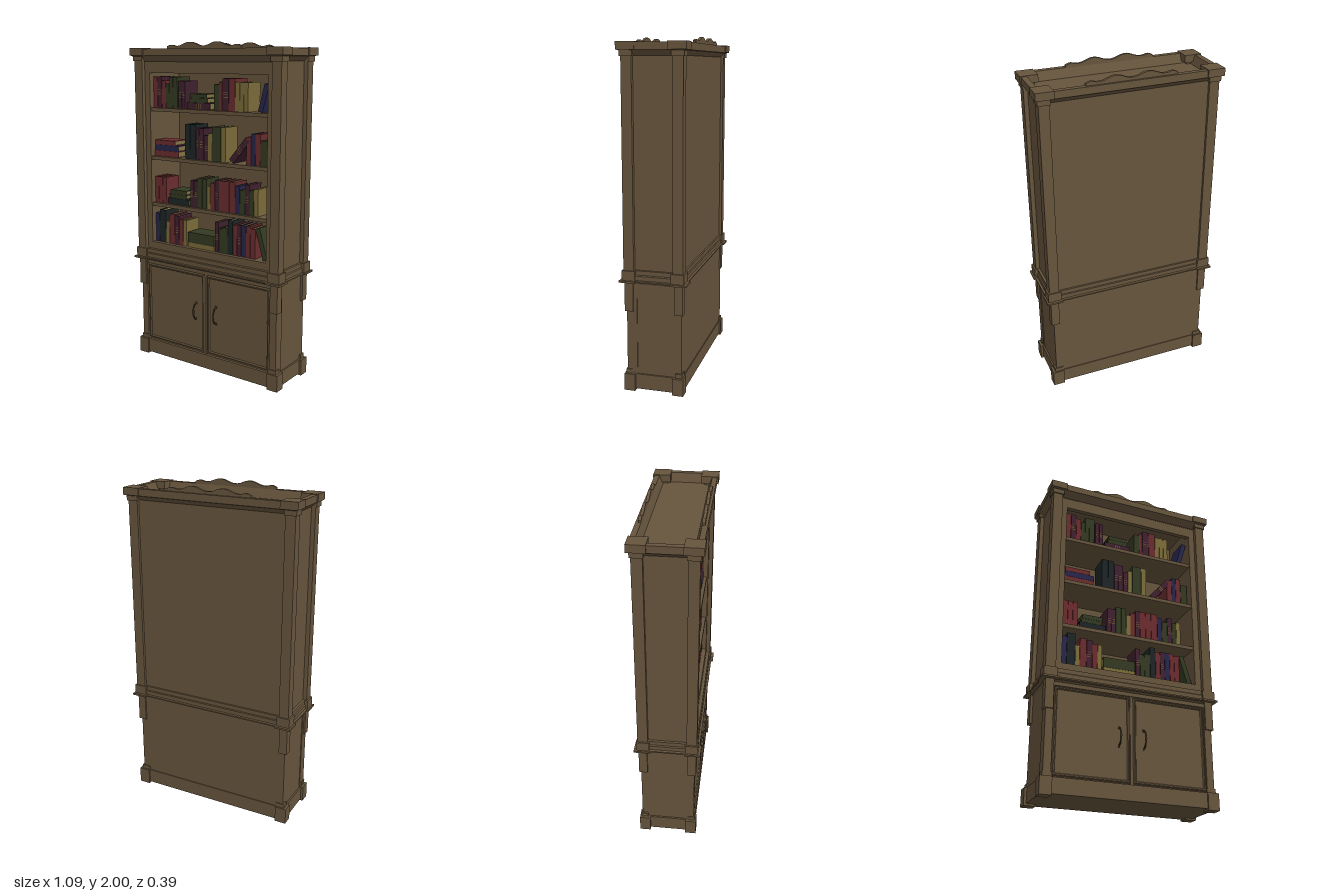
import * as THREE from 'three';

const mat = (name, hex, side = THREE.FrontSide) => {
  const m = new THREE.MeshStandardMaterial({ color: hex, side });
  m.name = name;
  return m;
};
const M = {
  wood: mat('wood', 0x67553d),
  bronze: mat('bronze', 0x4a3d28),
  red: mat('redCover', 0x6b2c2e),
  navy: mat('navyCover', 0x27264c),
  green: mat('greenCover', 0x343a22),
  plum: mat('plumCover', 0x40202f),
  dark: mat('darkCover', 0x1e2526),
  ochre: mat('ochreCover', 0x7d6c3a),
  pages: mat('pages', 0x857547),
};
const unitBox = new THREE.BoxGeometry(1, 1, 1);

// box given by its extents on each axis
function box(parent, name, material, x0, x1, y0, y1, z0, z1) {
  const m = new THREE.Mesh(unitBox, material);
  m.name = name;
  m.scale.set(x1 - x0, y1 - y0, z1 - z0);
  m.position.set((x0 + x1) / 2, (y0 + y1) / 2, (z0 + z1) / 2);
  parent.add(m);
  return m;
}

// the same box at all four corners
function corners(parent, name, x0, x1, y0, y1, z0, z1) {
  for (const sx of [-1, 1]) for (const sz of [-1, 1]) {
    const xs = [sx * x0, sx * x1].sort((a, b) => a - b);
    const zs = [sz * z0, sz * z1].sort((a, b) => a - b);
    box(parent, name, M.wood, xs[0], xs[1], y0, y1, zs[0], zs[1]);
  }
}

// moulding from rectangular loops [halfWidth, halfDepth, height]
function moulding(name, loops) {
  const pos = [];
  const pt = ([hx, hz, y], k) => [[hx, y, hz], [hx, y, -hz], [-hx, y, -hz], [-hx, y, hz]][k % 4];
  for (let i = 0; i < loops.length - 1; i++) for (let k = 0; k < 4; k++) {
    const a = pt(loops[i], k), b = pt(loops[i], k + 1);
    const c = pt(loops[i + 1], k + 1), d = pt(loops[i + 1], k);
    pos.push(...a, ...b, ...c, ...a, ...c, ...d);
  }
  const g = new THREE.BufferGeometry();
  g.setAttribute('position', new THREE.Float32BufferAttribute(pos, 3));
  g.computeVertexNormals();
  const m = new THREE.Mesh(g, M.wood);
  m.name = name;
  return m;
}

// book with its spine to the front; local x from 0 to w, y from 0 to h
function book(color, w, h, d = 0.125) {
  const g = new THREE.Group(), c = M[color], t = 0.004;
  g.name = 'book';
  box(g, 'cover', c, 0, t, 0, h, -d, 0);
  box(g, 'cover', c, w - t, w, 0, h, -d, 0);
  box(g, 'spine', c, t, w - t, 0, h, -t, 0);
  box(g, 'pageBlock', M.pages, t, w - t, 0.004, h - 0.005, 0.004 - d, -t);
  if (color === 'plum') for (const f of [0.42, 0.5, 0.58])
    box(g, 'spineBand', M.ochre, 0.004, w - 0.004, h * f - 0.002, h * f + 0.002, 0, 0.001);
  return g;
}

const BOOK_Z = 0.12;
// upright books side by side: [colour, width, height]
function run(parent, shelf, x, list) {
  for (const [color, w, h] of list) {
    const b = book(color, w - 0.002, h);
    b.position.set(x, shelf, BOOK_Z);
    parent.add(b);
    x += w;
  }
}
// lying books: [colour, left, length, thickness]
function stack(parent, shelf, list) {
  let y = shelf;
  for (const [color, x, len, t] of list) {
    const b = book(color, t, len);
    b.rotation.z = -Math.PI / 2;
    b.position.set(x, y + t, BOOK_Z);
    parent.add(b);
    y += t + 0.001;
  }
}
// tilted book resting on its lowest corner; positive angle leans to +x
function leaning(parent, shelf, x, color, w, h, angle) {
  const b = book(color, w, h), pivot = new THREE.Group();
  pivot.name = 'leaningBook';
  if (angle > 0) b.position.x = -w;
  pivot.add(b);
  pivot.rotation.z = -angle;
  pivot.position.set(x, shelf, BOOK_Z);
  parent.add(pivot);
}

export function createModel() {
  const root = new THREE.Group();
  root.name = 'bookcase';
  const W = M.wood;

  // plinth and lower cupboard
  box(root, 'plinth', W, -0.515, 0.515, 0.01, 0.1, -0.165, 0.165);
  corners(root, 'foot', 0.46, 0.53, 0, 0.1, 0.11, 0.175);
  corners(root, 'footStep', 0.46, 0.515, 0.1, 0.125, 0.125, 0.166);
  box(root, 'cupboard', W, -0.505, 0.505, 0.1, 0.65, -0.16, 0.148);
  for (const s of [-1, 1]) {
    box(root, 'cupboardPost', W, s * 0.4875 - 0.0225, s * 0.4875 + 0.0225, 0.1, 0.65, 0.1, 0.16);
    // door with beaded border
    const door = new THREE.Group();
    door.name = 'door';
    door.position.set(s * 0.236, 0.36, 0.148);
    box(door, 'doorPanel', W, -0.223, 0.223, -0.25, 0.25, -0.01, 0.003);
    const bead = moulding('doorBead', [[0.225, 0.252, 0], [0.22, 0.247, 0.011], [0.213, 0.24, 0.011], [0.207, 0.234, 0.002]]);
    bead.rotation.x = Math.PI / 2;
    door.add(bead);
    root.add(door);
    // bow handle
    const handle = new THREE.Group();
    handle.name = 'handle';
    handle.position.set(s * 0.076, 0.367, 0.15);
    const path = new THREE.CatmullRomCurve3([[-0.053, 0], [-0.045, 0.018], [-0.022, 0.031], [0, 0.033], [0.022, 0.031], [0.045, 0.018], [0.053, 0]]
      .map(([y, z]) => new THREE.Vector3(0, y, z)));
    const bow = new THREE.Mesh(new THREE.TubeGeometry(path, 20, 0.0045, 8), M.bronze);
    bow.name = 'handleBow';
    handle.add(bow);
    const grip = new THREE.Mesh(new THREE.SphereGeometry(0.007, 10, 8), M.bronze);
    grip.name = 'handleGrip';
    grip.scale.y = 2.6;
    grip.position.z = 0.032;
    handle.add(grip);
    for (const e of [-1, 1]) box(handle, 'handlePlate', M.bronze, -0.006, 0.006, e * 0.053 - 0.008, e * 0.053 + 0.008, 0, 0.005);
    root.add(handle);
  }
  box(root, 'doorDivider', W, -0.008, 0.008, 0.1, 0.62, 0.14, 0.153);
  box(root, 'cupboardRail', W, -0.47, 0.47, 0.615, 0.65, 0.14, 0.157);
  corners(root, 'corbel', 0.47, 0.52, 0.475, 0.65, 0.12, 0.17);

  // waist moulding
  root.add(moulding('waistMoulding', [[0.505, 0.155, 0.635], [0.513, 0.166, 0.648], [0.535, 0.184, 0.65], [0.535, 0.184, 0.658],
    [0.522, 0.172, 0.66], [0.522, 0.172, 0.685], [0.515, 0.168, 0.69], [0.515, 0.168, 0.715], [0, 0, 0.715]]));
  corners(root, 'waistBlock', 0.455, 0.535, 0.658, 0.715, 0.105, 0.18);
  corners(root, 'waistLip', 0.45, 0.545, 0.647, 0.658, 0.1, 0.195);

  // upper carcass
  box(root, 'backPanel', W, -0.5, 0.5, 0.7, 1.9, -0.157, -0.135);
  for (const s of [-1, 1]) {
    box(root, 'sidePanel', W, s * 0.463 - 0.037, s * 0.463 + 0.037, 0.7, 1.9, -0.15, 0.148);
  }
  box(root, 'topBoard', W, -0.49, 0.49, 1.885, 1.91, -0.155, 0.15);
  box(root, 'topRail', W, -0.43, 0.43, 1.82, 1.89, 0.12, 0.148);
  box(root, 'bottomBoard', W, -0.43, 0.43, 0.7, 0.76, -0.14, 0.148);
  for (const y of [1.015, 1.31, 1.61]) box(root, 'shelf', W, -0.428, 0.428, y - 0.022, y, -0.14, 0.14);
  corners(root, 'column', 0.465, 0.525, 0.71, 1.93, 0.113, 0.173);
  corners(root, 'capital', 0.46, 0.532, 1.89, 1.925, 0.108, 0.18);

  // cornice with a sunken top
  root.add(moulding('cornice', [[0.495, 0.148, 1.885], [0.5, 0.155, 1.892], [0.532, 0.182, 1.92], [0.538, 0.187, 1.922],
    [0.538, 0.187, 1.963], [0.505, 0.157, 1.963], [0.487, 0.138, 1.91]]));
  corners(root, 'corniceBlock', 0.442, 0.545, 1.923, 1.967, 0.092, 0.195);

  // scrolled pediments, front and back
  const half = [[0.265, 1.975], [0.235, 1.985], [0.2, 1.978], [0.165, 1.981], [0.13, 1.994], [0.1, 2], [0.065, 1.995], [0.03, 1.982]];
  const outline = [...half, [0, 1.978], ...half.slice().reverse().map(([x, y]) => [-x, y])];
  const shape = new THREE.Shape();
  shape.moveTo(-0.265, 1.955);
  shape.lineTo(0.265, 1.955);
  shape.lineTo(...outline[0]);
  shape.splineThru(outline.slice(1).map(([x, y]) => new THREE.Vector2(x, y)));
  const pedGeo = new THREE.ExtrudeGeometry(shape, { depth: 0.017, bevelEnabled: false, curveSegments: 3 });
  for (const z of [0.165, -0.165]) {
    const p = new THREE.Mesh(pedGeo, W);
    p.name = 'pediment';
    p.position.z = z - 0.0085;
    root.add(p);
  }

  // books
  const B = new THREE.Group();
  B.name = 'books';
  root.add(B);
  // top shelf
  run(B, 1.61, -0.42, [['red', 0.032, 0.188], ['plum', 0.035, 0.188], ['red', 0.032, 0.165], ['green', 0.027, 0.148], ['green', 0.028, 0.188], ['green', 0.035, 0.188]]);
  run(B, 1.61, -0.225, [['plum', 0.026, 0.165], ['plum', 0.026, 0.165]]);
  stack(B, 1.61, [['plum', -0.161, 0.174, 0.039], ['green', -0.14, 0.132, 0.027], ['green', -0.135, 0.122, 0.024]]);
  run(B, 1.61, 0.04, [['green', 0.037, 0.15], ['red', 0.023, 0.165], ['plum', 0.045, 0.185], ['red', 0.045, 0.185], ['ochre', 0.031, 0.165], ['ochre', 0.029, 0.165], ['ochre', 0.03, 0.165]]);
  leaning(B, 1.61, 0.373, 'navy', 0.03, 0.16, 0.27);
  // second shelf
  stack(B, 1.31, [['red', -0.419, 0.188, 0.036], ['navy', -0.415, 0.184, 0.034], ['red', -0.415, 0.158, 0.029]]);
  run(B, 1.31, -0.177, [['dark', 0.041, 0.21], ['dark', 0.041, 0.21], ['plum', 0.028, 0.19], ['plum', 0.032, 0.19], ['plum', 0.032, 0.15], ['ochre', 0.03, 0.165], ['green', 0.062, 0.205], ['ochre', 0.034, 0.205]]);
  leaning(B, 1.31, 0.177, 'plum', 0.036, 0.175, 0.7);
  run(B, 1.31, 0.268, [['red', 0.035, 0.16], ['navy', 0.028, 0.18], ['red', 0.034, 0.18], ['green', 0.046, 0.145]]);
  // third shelf
  run(B, 1.015, -0.42, [['red', 0.031, 0.165], ['red', 0.031, 0.165], ['red', 0.031, 0.165]]);
  stack(B, 1.015, [['dark', -0.315, 0.164, 0.04], ['green', -0.304, 0.132, 0.024], ['green', -0.298, 0.126, 0.027]]);
  run(B, 1.015, -0.14, [['plum', 0.028, 0.165], ['plum', 0.028, 0.165], ['green', 0.036, 0.185], ['green', 0.034, 0.185], ['ochre', 0.027, 0.145], ['red', 0.032, 0.165], ['plum', 0.032, 0.185],
    ['red', 0.037, 0.185], ['red', 0.037, 0.185], ['red', 0.042, 0.185], ['navy', 0.032, 0.165], ['green', 0.037, 0.145], ['plum', 0.032, 0.18], ['green', 0.03, 0.15], ['ochre', 0.03, 0.16]]);
  // bottom shelf
  run(B, 0.76, -0.42, [['navy', 0.032, 0.185], ['dark', 0.053, 0.21], ['ochre', 0.027, 0.14], ['red', 0.042, 0.19], ['plum', 0.036, 0.185], ['red', 0.032, 0.165], ['ochre', 0.028, 0.165]]);
  stack(B, 0.76, [['ochre', -0.161, 0.2, 0.03], ['green', -0.161, 0.2, 0.063]]);
  run(B, 0.76, 0.045, [['plum', 0.029, 0.185], ['green', 0.029, 0.15], ['green', 0.037, 0.16], ['dark', 0.037, 0.21], ['red', 0.03, 0.185], ['plum', 0.031, 0.19], ['navy', 0.034, 0.19], ['red', 0.03, 0.19], ['red', 0.035, 0.18]]);
  leaning(B, 0.76, 0.388, 'green', 0.03, 0.19, -0.28);
  return root;
}
